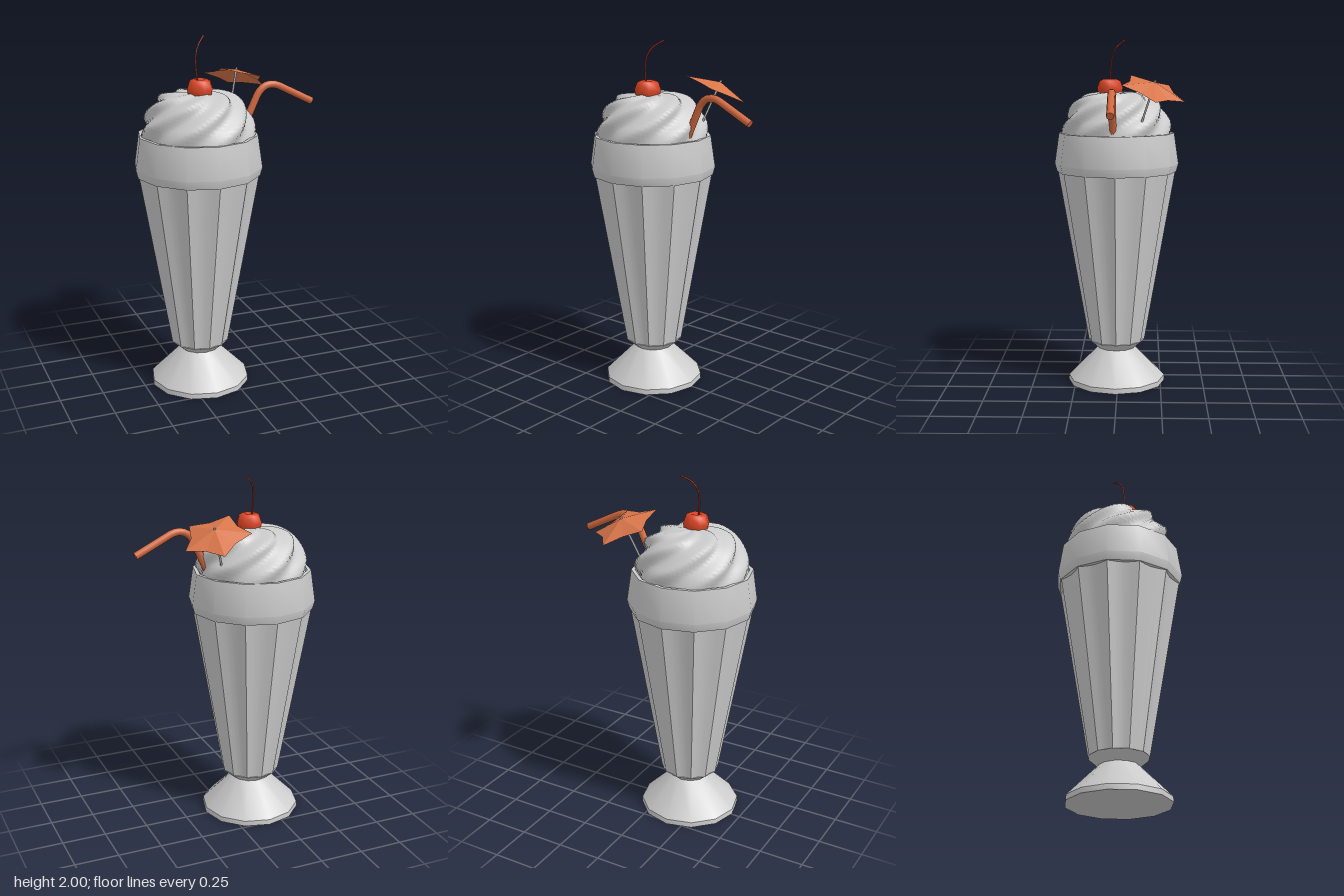
import * as THREE from 'three';
import { mergeVertices, toCreasedNormals } from 'three/addons/utils/BufferGeometryUtils.js';

const V = (x, y, z) => new THREE.Vector3(x, y, z);
const material = (color, extra = {}) => new THREE.MeshStandardMaterial({ color, ...extra });

function addMesh(parent, name, geometry, mat) {
  const mesh = new THREE.Mesh(geometry, mat);
  mesh.name = name;
  parent.add(mesh);
  return mesh;
}

const lathe = (points, sides) =>
  new THREE.LatheGeometry(points.map(([r, y]) => new THREE.Vector2(r, y)), sides);

// Apply a rule to every vertex
function moveVertices(geometry, rule) {
  const p = geometry.attributes.position, v = V(0, 0, 0);
  for (let i = 0; i < p.count; i++) {
    rule(v.fromBufferAttribute(p, i));
    p.setXYZ(i, v.x, v.y, v.z);
  }
  return geometry;
}

// Weld seams and recompute smooth normals
function weld(geometry) {
  geometry.deleteAttribute('uv');
  geometry.deleteAttribute('normal');
  const welded = mergeVertices(geometry, 1e-5);
  welded.computeVertexNormals();
  return welded;
}

const creased = (geometry) => toCreasedNormals(weld(geometry), 0.6);

// Twelve concave flutes meeting in sharp ridges
function flutedBody() {
  const step = Math.PI / 6;
  return moveVertices(lathe([[0.165, 0.25], [0.34, 1.255]], 48), (v) => {
    const a = Math.atan2(v.x, v.z) + Math.PI * 2 + 1e-6;
    const u = (a % step) / step;
    const chord = Math.cos(step / 2) / Math.cos((u - 0.5) * step);
    const k = chord - 0.05 * Math.sin(Math.PI * u);
    v.x *= k;
    v.z *= k;
  });
}

// Dome with spiral ridges that wind outwards from the top
function swirl() {
  const profile = [[0.295, 1.42], [0.3, 1.48], [0.295, 1.53], [0.28, 1.565], [0.262, 1.6],
    [0.245, 1.63], [0.225, 1.655], [0.195, 1.678], [0.155, 1.693], [0.11, 1.702], [0.06, 1.706], [0, 1.708]];
  const curve = new THREE.SplineCurve(profile.map(([r, y]) => new THREE.Vector2(r, y)));
  const points = curve.getPoints(26).map((p) => [Math.max(p.x, 0), p.y]);
  return weld(moveVertices(lathe(points, 84), (v) => {
    const r = Math.hypot(v.x, v.z);
    const drop = (1.708 - v.y) / 0.29;
    const phase = 7 * (Math.atan2(v.z, v.x) - 1.1 * r / 0.3 - 1.3 * drop);
    const wave = Math.sin(phase + 0.45 * Math.sin(phase));
    const strength = Math.min(1, r / 0.2);
    const k = 1 + 0.06 * wave * strength;
    v.x *= k;
    v.z *= k;
    v.y += 0.008 * wave * strength;
  }));
}

// Tube with closed, flat ends
function cappedTube(parent, name, curve, segments, radius, sides, mat) {
  const group = new THREE.Group();
  group.name = name;
  parent.add(group);
  addMesh(group, name + 'Tube', new THREE.TubeGeometry(curve, segments, radius, sides), mat);
  for (const t of [0, 1]) {
    const cap = addMesh(group, name + 'End', new THREE.CircleGeometry(radius, sides), mat);
    const out = curve.getTangent(t).multiplyScalar(t ? 1 : -1);
    cap.position.copy(curve.getPoint(t));
    cap.quaternion.setFromUnitVectors(V(0, 0, 1), out);
  }
}

// Five-pointed paper canopy on a tilted stick
function umbrella(paper, grey) {
  const group = new THREE.Group();
  group.name = 'umbrella';
  const up = V(0.31, 1, -0.32).normalize();
  const tip = V(-0.126, 0.077, 0.118).normalize();
  const side = V(0, 0, 0).crossVectors(up, tip);
  group.quaternion.setFromRotationMatrix(new THREE.Matrix4().makeBasis(side, up, tip));
  group.position.set(0.136, 1.73, -0.193);

  const cone = new THREE.ConeGeometry(0.19, 0.045, 10, 1, true).translate(0, 0.0225, 0);
  moveVertices(cone, (v) => {
    const i = Math.round(Math.atan2(v.x, v.z) / (Math.PI / 5));
    if (i % 2) {
      v.x *= 0.7;
      v.z *= 0.7;
    }
  });
  addMesh(group, 'canopy', cone, paper);
  addMesh(group, 'stick', new THREE.CylinderGeometry(0.006, 0.006, 0.31, 6).translate(0, -0.1, 0), grey);
  return group;
}

export function createModel() {
  const model = new THREE.Group();
  model.name = 'milkshake';
  const grey = material(0xcccccc);
  const orange = material(0xd0683f);
  const paper = material(0xd9764a, { flatShading: true, side: THREE.DoubleSide });
  const red = material(0xd94423);

  // Glass, standing off-centre to balance the straw
  const glass = new THREE.Group();
  glass.name = 'glass';
  glass.position.set(-0.165, 0, 0.01);
  model.add(glass);
  addMesh(glass, 'foot', creased(lathe([[0, 0], [0.285, 0], [0.283, 0.03], [0.11, 0.205],
    [0.165, 0.252], [0.12, 0.256]], 12)), grey);
  addMesh(glass, 'flutedBody', creased(flutedBody()), grey);
  addMesh(glass, 'collar', creased(lathe([[0.29, 1.25], [0.345, 1.25], [0.358, 1.297],
    [0.332, 1.475], [0.312, 1.475], [0.305, 1.43], [0, 1.43]], 12)), grey);
  addMesh(glass, 'whippedCream', swirl(), grey);

  // Cherry with a dimple and a bent stem
  const cherry = addMesh(model, 'cherry', weld(lathe([[0, 1.645], [0.04, 1.655], [0.066, 1.69],
    [0.074, 1.73], [0.06, 1.77], [0.035, 1.781], [0, 1.762]], 8)), red);
  cherry.position.set(-0.165, 0, 0.047);
  const stemCurve = new THREE.CatmullRomCurve3([V(-0.178, 1.76, 0.047), V(-0.186, 1.84, 0.043),
    V(-0.182, 1.91, 0.033), V(-0.158, 1.96, 0.01), V(-0.112, 1.998, -0.036)]);
  cappedTube(model, 'cherryStem', stemCurve, 8, 0.005, 5, material(0xb03a20));

  // Bendy straw
  const straw = new THREE.CurvePath();
  straw.add(new THREE.LineCurve3(V(0.085, 1.46, 0.025), V(0.175, 1.655, 0.025)));
  straw.add(new THREE.CubicBezierCurve3(V(0.175, 1.655, 0.025), V(0.205, 1.72, 0.025),
    V(0.26, 1.735, 0.025), V(0.32, 1.703, 0.025)));
  straw.add(new THREE.LineCurve3(V(0.32, 1.703, 0.025), V(0.51, 1.608, 0.025)));
  cappedTube(model, 'straw', straw, 24, 0.021, 10, orange);

  model.add(umbrella(paper, grey));
  return model;
}
